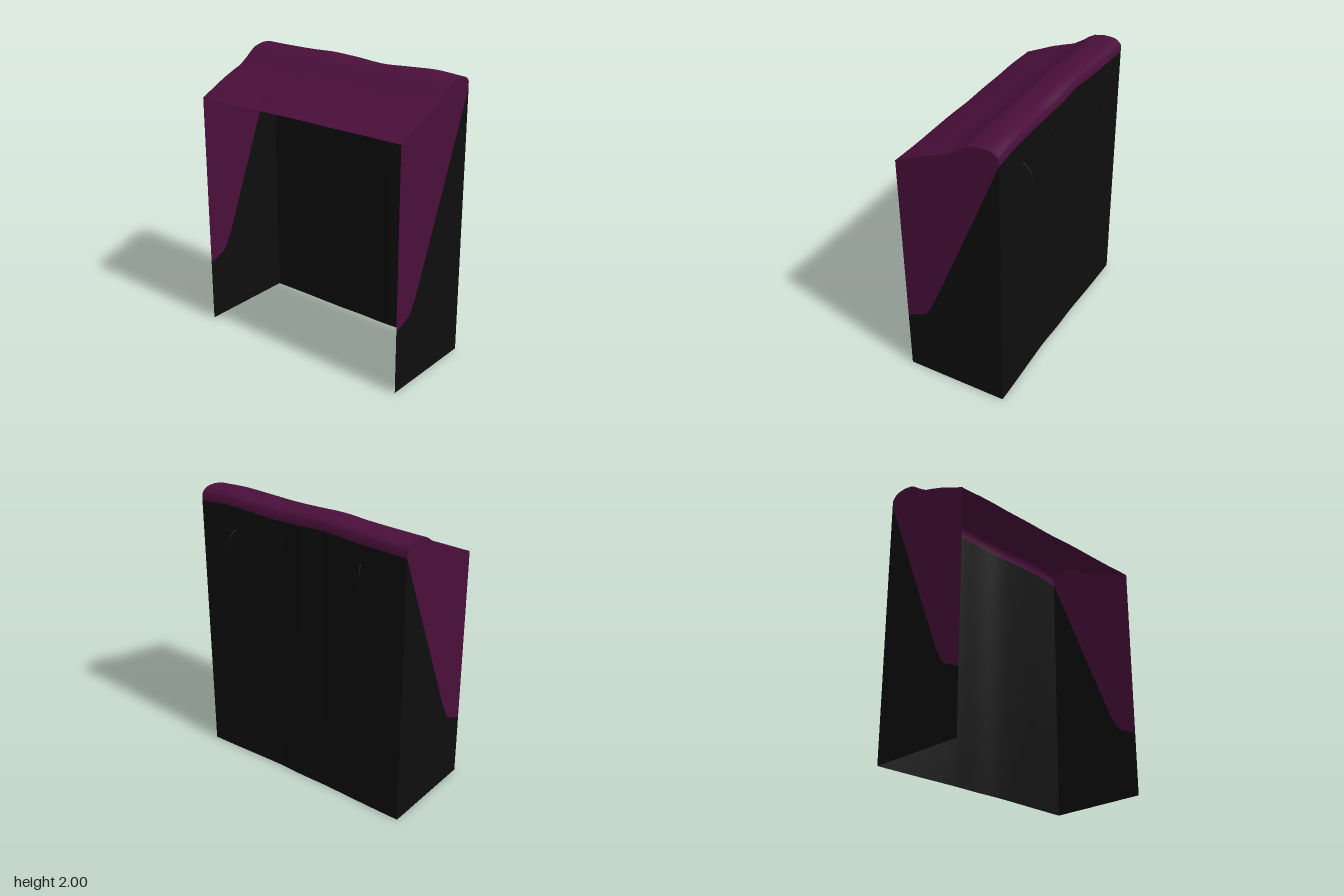
import * as THREE from 'three';

const W = 0.83, FRONT = 0.408, BACK = -0.33;

// roof cross-section from front edge to back edge, as (z, y)
const roofProfile = [
  [FRONT, 1.708], [0.3, 1.758], [0.2, 1.805], [0.1, 1.843], [0.03, 1.867], [-0.04, 1.912], [-0.09, 1.95],
  [-0.13, 1.973], [-0.2, 1.987], [-0.25, 1.987], [-0.285, 1.981], [-0.312, 1.965], [-0.328, 1.945], [BACK, 1.9],
];
// border between the two cloth colours on the side panels, front to back
const border = [[FRONT, 0.45], [0.34, 0.478], [0.275, 0.508], [0.25, 0.532], [0.225, 0.575],
  [0.19, 0.645], [0, 1.1], [BACK, 1.9]];

// smooth wave across the width from evenly spaced offsets
function wave(offsets) {
  const curve = new THREE.SplineCurve(offsets.map((d, i) => new THREE.Vector2(i, d)));
  return (u) => curve.getPoint(u).y;
}
const crestWave = wave([0, 0, 0.004, 0.014, 0.005, -0.006, 0.005, 0.014, 0]);
const frontWave = wave([-0.004, 0.004, 0, 0, -0.005, 0, -0.002, -0.004, 0]);
const backWave = wave([0, 0.004, 0.011, 0.02, 0.018, 0.026, 0.018, 0.007, 0]);

// bend a grid into a sheet: place(u, v) returns [x, y, z]
function sheet(cols, rows, place) {
  const g = new THREE.PlaneGeometry(1, 1, cols, rows);
  const p = g.attributes.position;
  for (let i = 0; i < p.count; i++) p.setXYZ(i, ...place(p.getX(i) + 0.5, p.getY(i) + 0.5));
  g.computeVertexNormals();
  return g;
}

// flat panel in the z-y plane
function panel(points) {
  const shape = new THREE.Shape(points.map(([z, y]) => new THREE.Vector2(z, y)));
  return new THREE.ShapeGeometry(shape).rotateY(-Math.PI / 2);
}

export function createModel() {
  const group = new THREE.Group();
  const plum = new THREE.MeshStandardMaterial({ color: 0x4a0f3b, side: THREE.DoubleSide });
  plum.name = 'plum cloth';
  const black = new THREE.MeshStandardMaterial({ color: 0x0e0e0e, side: THREE.DoubleSide });
  black.name = 'black cloth';
  const add = (name, geometry, material) => {
    const mesh = new THREE.Mesh(geometry, material);
    mesh.name = name;
    group.add(mesh);
    return mesh;
  };

  // rolling roof sheet
  const last = roofProfile.length - 1;
  add('roof', sheet(48, last, (u, v) => {
    const [z, y] = roofProfile[Math.round(v * last)];
    const t = (FRONT - z) / (FRONT - BACK);
    return [(u * 2 - 1) * W, y + crestWave(u) * t,
      z + frontWave(u) * (1 - t) + backWave(u) * t];
  }), plum);

  // gently rippled back wall, meeting the roof's back edge
  add('backWall', sheet(48, 12, (u, v) => [
    (u * 2 - 1) * W, v * (1.9 + crestWave(u)), BACK + backWave(u) * (0.65 + 0.35 * v),
  ]), black);

  // two-coloured side panels
  for (const [side, s] of [['left', 1], ['right', -1]]) {
    add(side + 'SideLower', panel([[FRONT, 0], ...border, [BACK, 0]]), black).position.x = s * W;
    add(side + 'SideUpper', panel([...border, ...roofProfile.slice(0, -1).reverse()]), plum).position.x = s * W;
  }

  // loose threads hanging from the back
  const threads = [
    [[0.535, 1.76, -0.32], [0.54, 1.74, -0.352], [0.545, 1.7, -0.385], [0.553, 1.64, -0.407]],
    [[-0.485, 1.77, -0.322], [-0.495, 1.74, -0.338], [-0.5, 1.67, -0.35], [-0.49, 1.59, -0.348]],
    [[0.14, 1.78, -0.308], [0.142, 1.75, -0.322], [0.14, 1.71, -0.318]],
  ];
  for (const pts of threads) {
    const path = new THREE.CatmullRomCurve3(pts.map((p) => new THREE.Vector3(...p)));
    add('looseThread', new THREE.TubeGeometry(path, 14, 0.003, 5), black);
  }
  return group;
}
